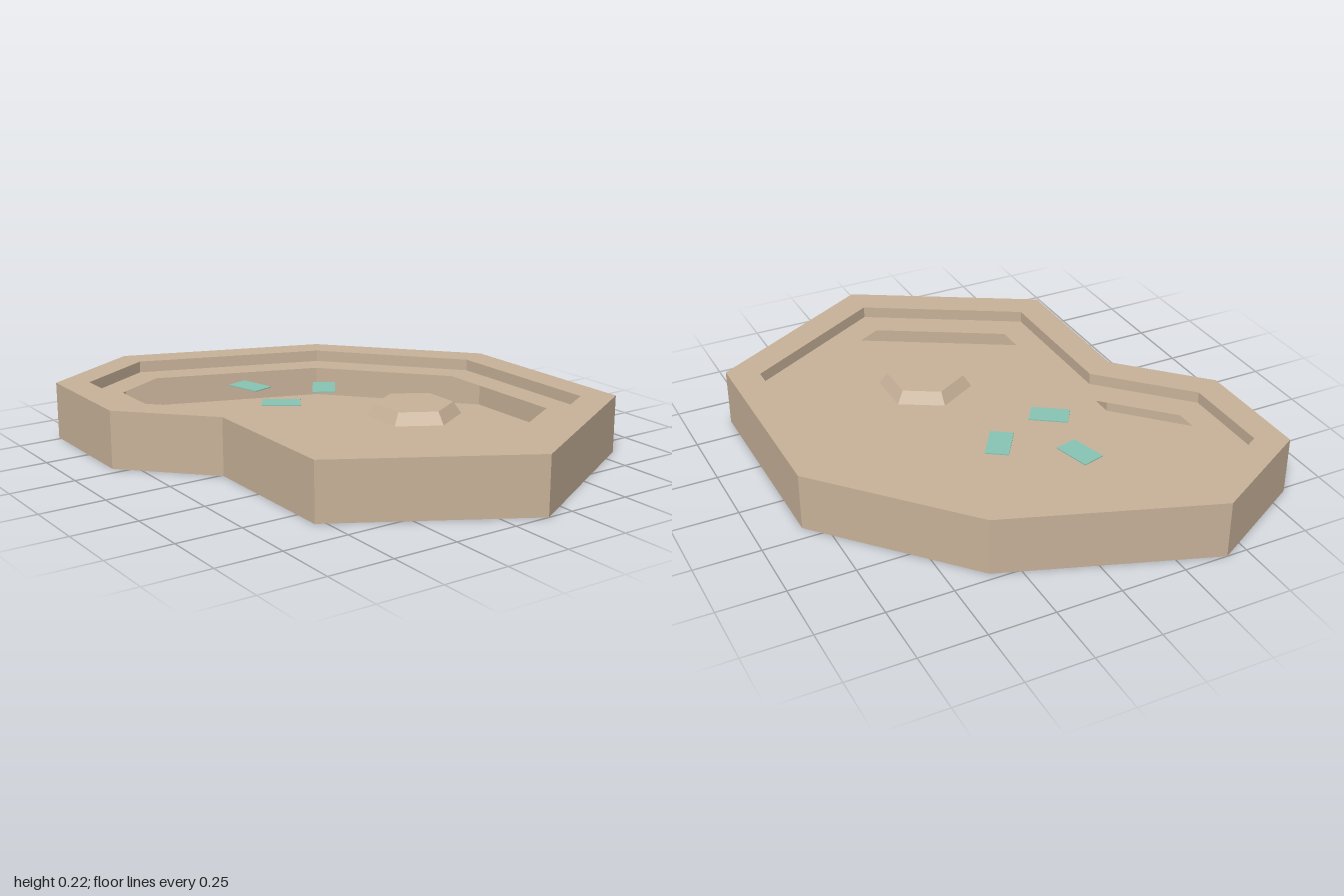
import * as THREE from 'three';

const TOP = 0.223;    // rim height
const LEDGE = 0.178;  // height of the inner ledge

// Plan outlines as [x, z], corner by corner
const outer = [[-0.42, -1], [0.355, -0.72], [0.83, -0.19], [0.83, 0.605], [0.145, 1],
  [-0.535, 0.605], [-0.535, 0.01], [-0.83, -0.295], [-0.83, -0.765]];
const middle = [[-0.41, -0.878], [0.293, -0.622], [0.715, -0.14], [0.715, 0.535], [0.145, 0.865],
  [-0.422, 0.535], [-0.422, -0.035], [-0.72, -0.342], [-0.72, -0.7]];
const inner = [[-0.4, -0.755], [0.225, -0.527], [0.605, -0.1], [0.605, 0.47], [0.145, 0.735],
  [-0.312, 0.47], [-0.312, -0.085], [-0.61, -0.388], [-0.61, -0.635]];

// Flat-faced strip joining two outlines at given heights
function band(a, ya, b, yb) {
  const pos = [];
  a.forEach((p, i) => {
    const j = (i + 1) % a.length;
    const a0 = [p[0], ya, p[1]], a1 = [a[j][0], ya, a[j][1]];
    const b0 = [b[i][0], yb, b[i][1]], b1 = [b[j][0], yb, b[j][1]];
    pos.push(...a0, ...b0, ...a1, ...a1, ...b0, ...b1);
  });
  const g = new THREE.BufferGeometry();
  g.setAttribute('position', new THREE.Float32BufferAttribute(pos, 3));
  g.computeVertexNormals();
  return g;
}

export function createModel() {
  const group = new THREE.Group();
  const stone = new THREE.MeshStandardMaterial({ color: 0xc8b299, side: THREE.DoubleSide, flatShading: true });
  stone.name = 'sandStone';
  const teal = new THREE.MeshStandardMaterial({ color: 0x88c4b4, side: THREE.DoubleSide, flatShading: true });
  teal.name = 'paleTeal';

  const add = (name, geometry, material) => {
    const mesh = new THREE.Mesh(geometry, material);
    mesh.name = name;
    group.add(mesh);
    return mesh;
  };

  // Hollow tray: wall, rim, drop to the ledge, and the open-centred ledge
  add('outerWall', band(outer, 0, outer, TOP), stone);
  add('rim', band(outer, TOP, middle, TOP), stone);
  add('innerWall', band(middle, TOP, middle, LEDGE), stone);
  add('ledge', band(middle, LEDGE, inner, LEDGE), stone);

  // Bottom plate
  const base = new THREE.ShapeGeometry(new THREE.Shape(outer.map(([x, z]) => new THREE.Vector2(x, z))));
  base.rotateX(Math.PI / 2);
  add('bottom', base, stone);

  // Raised six-sided pedestal at ledge height
  const pedestal = add('pedestal', new THREE.CylinderGeometry(0.147, 0.178, TOP - LEDGE, 6), stone);
  pedestal.position.set(0.147, (TOP + LEDGE) / 2, 0.247);

  // Thin coloured tiles: x, z, turn
  [[-0.15, -0.437, 0.26], [0.081, -0.255, -0.6], [-0.175, -0.165, 0.97]].forEach(([x, z, turn], i) => {
    const tile = add('tile' + (i + 1), new THREE.BoxGeometry(0.088, 0.004, 0.147), teal);
    tile.position.set(x, LEDGE, z);
    tile.rotation.y = turn;
  });

  return group;
}
